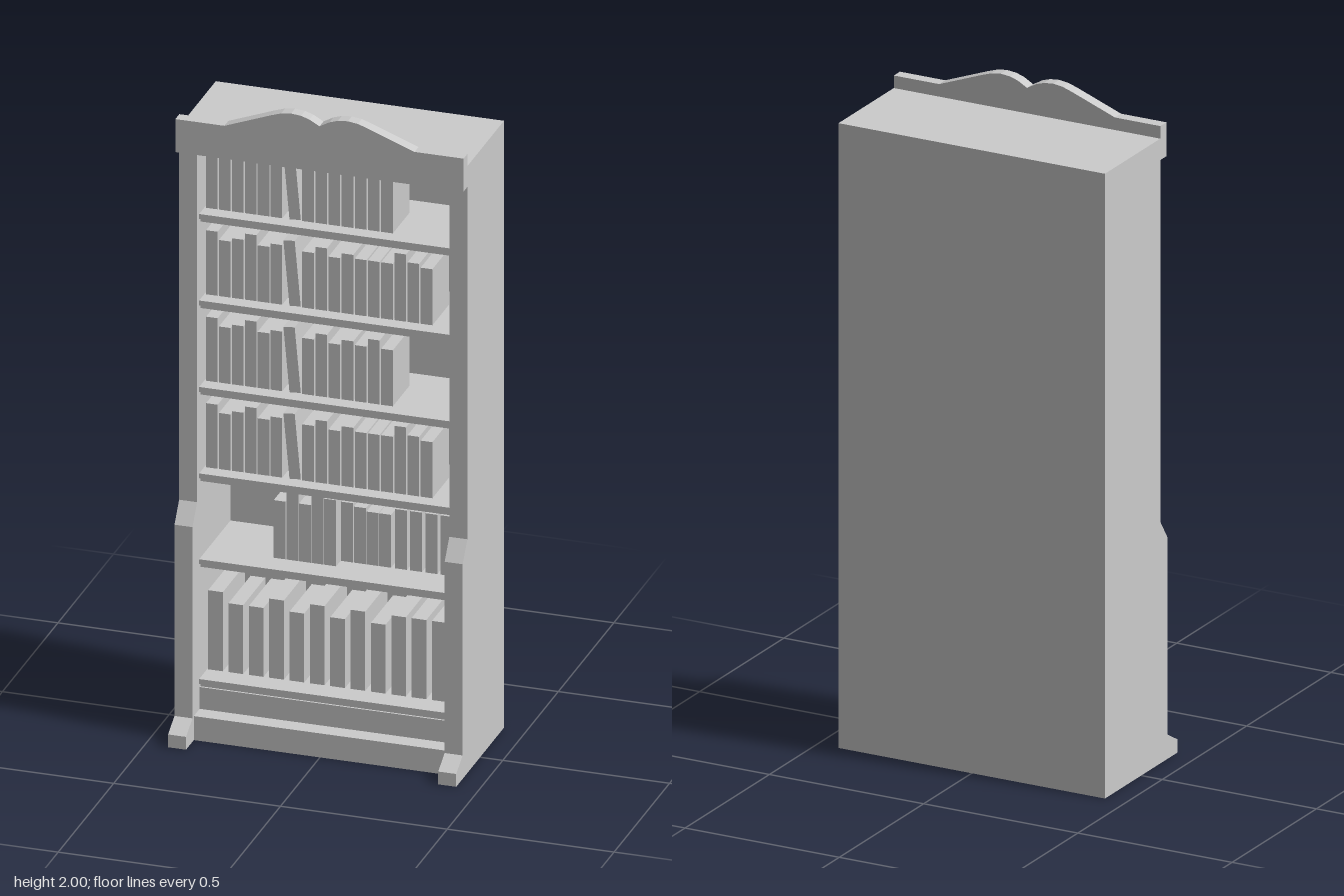
import * as THREE from 'three';

const material = new THREE.MeshStandardMaterial({ color: 0xcccccc, flatShading: true });
const INNER = 0.378, OUTER = 0.432, BACK = -0.215;

export function createModel() {
  const model = new THREE.Group();
  model.name = 'bookcase';

  function add(name, geometry, parent = model) {
    const mesh = new THREE.Mesh(geometry, material);
    mesh.name = name;
    parent.add(mesh);
    return mesh;
  }

  // Box given by its limits on each axis
  function slab(name, x0, x1, y0, y1, z0, z1, parent) {
    const mesh = add(name, new THREE.BoxGeometry(x1 - x0, y1 - y0, z1 - z0), parent);
    mesh.position.set((x0 + x1) / 2, (y0 + y1) / 2, (z0 + z1) / 2);
    return mesh;
  }

  // Extrude a [z, y] outline along x, between x0 and x1
  function profileAlongX(points, x0, x1) {
    const shape = new THREE.Shape(points.map(([z, y]) => new THREE.Vector2(z, y)));
    const geometry = new THREE.ExtrudeGeometry(shape, { depth: x1 - x0, bevelEnabled: false });
    return geometry.rotateY(-Math.PI / 2).translate(x1, 0, 0);
  }

  // Side panels with stepped front and projecting foot
  const side = [[BACK, 0], [0.215, 0], [0.215, 0.04], [0.157, 0.073], [0.157, 0.67],
    [0.115, 0.73], [0.115, 1.895], [BACK, 1.895]];
  add('leftSide', profileAlongX(side, INNER, OUTER));
  add('rightSide', profileAlongX(side, -OUTER, -INNER));

  // Carcass
  slab('backPanel', -INNER, INNER, 0, 1.895, BACK, -0.185);
  slab('topPanel', -INNER, INNER, 1.84, 1.895, -0.185, 0.115);
  slab('plinthBoard', -INNER, INNER, 0, 0.075, 0.09, 0.145);
  slab('baseBlock', -INNER, INNER, 0.07, 0.143, -0.185, 0.092);

  // Crown board with a double arch
  const arch = [[0.432, 1.933], [0.285, 1.933], [0.145, 1.986], [0.115, 1.996],
    [0.085, 2], [0.055, 1.997], [0.03, 1.989]];
  const outline = [[-OUTER, 1.83], [OUTER, 1.83], ...arch, [0, 1.972],
    ...arch.map(([x, y]) => [-x, y]).reverse()];
  const crown = new THREE.Shape(outline.map(([x, y]) => new THREE.Vector2(x, y)));
  add('crown', new THREE.ExtrudeGeometry(crown, { depth: 0.036, bevelEnabled: false }).translate(0, 0, 0.113));

  // Shelves with a small step under the front lip
  const shelfTops = [1.622, 1.352, 1.082, 0.812, 0.544, 0.17];
  for (const y of shelfTops) {
    add('shelf', profileAlongX([[-0.185, y - 0.028], [0.086, y - 0.028], [0.086, y - 0.015],
      [0.097, y - 0.015], [0.097, y], [-0.185, y]], -INNER, INNER));
  }

  // Books: a row lists [left edge, width, height, front z]
  function bookRow(books, y, depth) {
    const row = new THREE.Group();
    row.name = 'bookRow';
    model.add(row);
    for (const [x, width, height, front] of books) {
      slab('book', x, x + width, y, y + height, front - depth, front, row);
    }
    return row;
  }

  // Upper four rows share a start, a leaning book and differing ends
  const start = [0.2, 0.175, 0.185, 0.165, 0.19, 0.175, 0, 0.17, 0.19, 0.173, 0.188, 0.175];
  const startAlt = [0.2, 0.175, 0.186, 0.206, 0.175, 0.186, 0, 0.175, 0.195, 0.17, 0.186, 0.175];
  const rows = [
    [...start, 0.175, 0.175],
    [...startAlt, 0.175, 0.175, 0.21, 0.186, 0.175],
    [...startAlt, 0.2, 0.175],
    [...startAlt, 0.175, 0.175, 0.21, 0.186, 0.175],
  ];
  rows.forEach((heights, r) => {
    const books = [];
    heights.forEach((h, i) => {
      const x = i < 7 ? -0.373 + i * 0.0387 : -0.085 + (i - 7) * 0.0395;
      if (h) books.push([x, 0.035, h, 0.05]);
    });
    const row = bookRow(books, shelfTops[r], 0.15);
    const leaning = add('leaningBook', new THREE.BoxGeometry(0.034, 0.203, 0.15), row);
    leaning.position.set(-0.115, shelfTops[r] + 0.102, -0.025);
    leaning.rotation.z = 0.09;
  });

  // Fifth row, its first books standing further forward
  const fifth = [0.18, 0.222, 0.18, 0.222, 0.206, 0.185, 0.175, 0.165, 0.165, 0.185, 0.185, 0.185, 0.185];
  bookRow(fifth.map((h, i) => [
    i < 9 ? -0.18 + i * 0.0378 : 0.17 + (i - 9) * 0.0455,
    0.036, h, i < 5 ? 0.02 : -0.02]), shelfTops[4], 0.15);

  // Bottom row of large books
  const large = [0.247, 0.215, 0.215, 0.247, 0.215, 0.247, 0.215, 0.247, 0.215, 0.247, 0.247, 0.247];
  bookRow(large.map((h, i) => [-0.375 + i * 0.061, 0.044, h, 0.025]), shelfTops[5], 0.2);

  return model;
}
